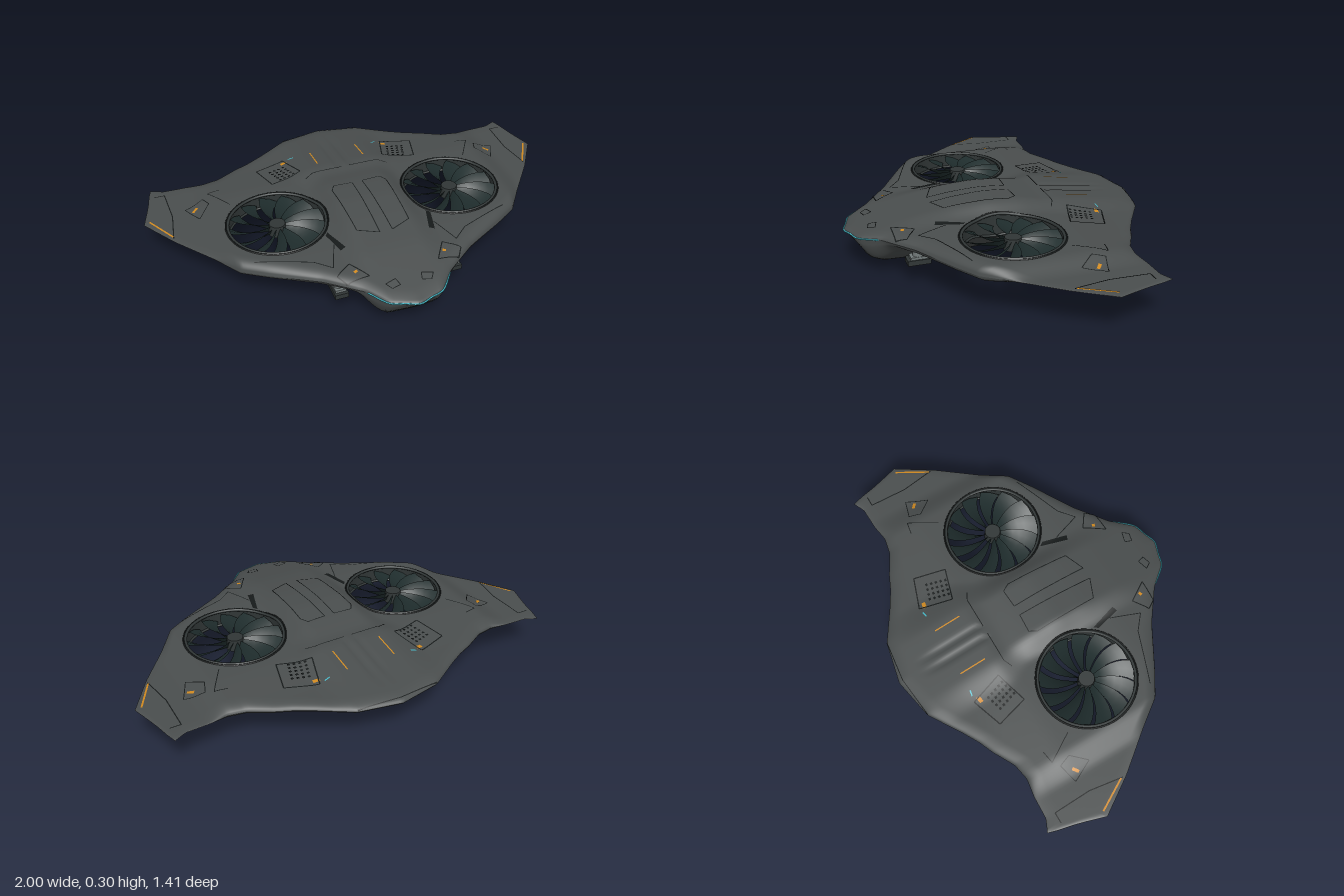
import * as THREE from 'three';

const mat = (name, color, side = THREE.DoubleSide) => {
  const m = new THREE.MeshStandardMaterial({ color, side });
  m.name = name;
  return m;
};

// Piecewise-linear lookup, and a softened version of it
const look = (t, v) => {
  if (v <= t[0][0]) return t[0][1];
  for (let i = 1; i < t.length; i++) {
    const [a, p] = t[i - 1], [b, q] = t[i];
    if (v <= b) return p + (q - p) * (v - a) / (b - a);
  }
  return t[t.length - 1][1];
};
const soft = (t, v) => [-0.03, -0.015, 0, 0.015, 0.03].reduce((s, o) => s + look(t, v + o), 0) / 5;
const { smoothstep, lerp } = THREE.MathUtils;

// Half planform: leading and trailing edge z for each |x|
const FRONT = [[0, 0.7], [0.12, 0.66], [0.2, 0.565], [0.35, 0.45], [0.55, 0.335], [0.66, 0.265], [0.75, 0.14], [0.89, -0.04], [1, -0.21]];
const BACK = [[0, -0.71], [0.2, -0.67], [0.35, -0.575], [0.43, -0.53], [0.5, -0.5], [0.6, -0.445], [0.68, -0.43], [0.76, -0.443], [0.87, -0.447], [0.93, -0.475], [0.96, -0.34], [1, -0.21]];
// Height profiles along z
const SPINE = [[-0.7, 0.215], [-0.5, 0.24], [-0.27, 0.272], [-0.22, 0.264], [-0.1, 0.286], [0.05, 0.296], [0.2, 0.286], [0.4, 0.257], [0.6, 0.212], [0.7, 0.188]];
const WING = [[-0.7, 0.215], [-0.45, 0.222], [-0.25, 0.242], [0.3, 0.245], [0.5, 0.23], [0.7, 0.188]];
const KEEL = [[-0.7, 0.178], [-0.35, 0.17], [-0.28, 0.14], [-0.2, 0.09], [-0.1, 0.062], [0.4, 0.05], [0.56, 0.054], [0.63, 0.1], [0.7, 0.172]];
const UNDER = [[-0.7, 0.178], [-0.4, 0.172], [0.5, 0.168], [0.7, 0.172]];
const RIM = [[-0.7, 0.197], [0.45, 0.2], [0.58, 0.195], [0.7, 0.18]];
const FAN = { x: 0.43, z: 0.035, r: 0.228 };

const edgeFade = (x, z) => {
  const t = Math.min((look(FRONT, x) - z) / 0.07, (z - look(BACK, x)) / 0.07, 1);
  return Math.sqrt(Math.max(0, 1 - (1 - t) ** 2));
};
const topY = (x, z) => {
  x = Math.abs(x);
  const rear = smoothstep(-z, 0.15, 0.3);
  const hump = 1 - smoothstep(x, 0.12 + 0.02 * rear, 0.24 + 0.06 * rear);
  let y = lerp(soft(WING, z), soft(SPINE, z), hump);
  y -= 0.008 * Math.exp(-(((x - 0.03) / 0.012) ** 2)) * smoothstep(-z, 0.25, 0.28) * (1 - smoothstep(-z, 0.45, 0.62));
  y = lerp(y, 0.204, smoothstep(x, 0.655, 0.79));
  return lerp(look(RIM, z), y, edgeFade(x, z));
};
const botY = (x, z) => {
  x = Math.abs(x);
  let y = lerp(soft(UNDER, z), soft(KEEL, z), 1 - smoothstep(x, 0.1, 0.25));
  y = lerp(y, 0.195, smoothstep(x, 0.655, 0.79));
  return lerp(look(RIM, z), y, edgeFade(x, z));
};

function build(verts, idx) {
  const g = new THREE.BufferGeometry();
  g.setAttribute('position', new THREE.Float32BufferAttribute(verts, 3));
  g.setIndex(idx);
  g.computeVertexNormals();
  return g;
}

// Hull skin: a grid over the planform with both fan holes left out
function skin(yAt, up) {
  const nx = 136, nz = 96, p = [], idx = [];
  const off = (x, z) => Math.hypot(Math.abs(x) - FAN.x, z - FAN.z);
  const raw = [];
  for (let i = 0; i <= nx; i++) for (let j = 0; j <= nz; j++) {
    const x = -1 + 2 * i / nx, a = Math.abs(x), t = j / nz;
    const v = lerp(t, 0.5 - 0.5 * Math.cos(Math.PI * t), 0.6);
    let px = x, pz = lerp(look(BACK, a), look(FRONT, a), v);
    raw.push([px, pz]);
    const d = off(px, pz);
    if (d < FAN.r && d > 0.01) {
      const s = Math.sign(px) || 1, k = FAN.r / d;
      px = s * (FAN.x + (a - FAN.x) * k);
      pz = FAN.z + (pz - FAN.z) * k;
    }
    p.push(px, yAt(px, pz), pz);
  }
  for (let i = 0; i < nx; i++) for (let j = 0; j < nz; j++) {
    const a = i * (nz + 1) + j, b = a + 1, c = a + nz + 1, d = c + 1;
    const cx = (raw[a][0] + raw[d][0]) / 2, cz = (raw[a][1] + raw[b][1] + raw[c][1] + raw[d][1]) / 4;
    if (off(cx, cz) < FAN.r) continue;
    if (up) idx.push(a, b, c, c, b, d); else idx.push(a, c, b, c, d, b);
  }
  return build(p, idx);
}

// Four-cornered plate laid over a surface; corners are [x, z]
function plate(q, yAt, lift, n = 6) {
  const p = [], idx = [];
  for (let i = 0; i <= n; i++) for (let j = 0; j <= n; j++) {
    const u = i / n, v = j / n;
    const at = k => lerp(lerp(q[0][k], q[1][k], u), lerp(q[3][k], q[2][k], u), v);
    p.push(at(0), yAt(at(0), at(1)) + lift, at(1));
    if (i < n && j < n) {
      const a = i * (n + 1) + j, c = a + n + 1;
      idx.push(a, a + 1, c, c, a + 1, c + 1);
    }
  }
  return build(p, idx);
}

// Pitched, slightly swept fan blade
function blade(angle) {
  const p = [], idx = [], n = 6, span = 0.405;
  for (let i = 0; i <= n; i++) {
    const r = lerp(0.035, 0.222, i / n), sweep = angle + 0.25 * (i / n) ** 2;
    for (const [o, y] of [[0, 0.232], [0.5, 0.218], [1, 0.195]])
      p.push(r * Math.cos(sweep + o * span), y, r * Math.sin(sweep + o * span));
    if (i < n) for (const k of [0, 1]) {
      const a = i * 3 + k;
      idx.push(a, a + 1, a + 3, a + 3, a + 1, a + 4);
    }
  }
  return build(p, idx);
}

export function createModel() {
  const root = new THREE.Group();
  const hull = mat('hull grey', 0x4a4e4e), dark = mat('panel line black', 0x161a1a);
  const fanMat = mat('fan dark green', 0x1f2d2d), trim = mat('duct charcoal', 0x303636);
  const steel = mat('strut grey', 0x727a7a), orange = mat('marker orange', 0xd18a20), cyan = mat('light cyan', 0x46bccb);
  const add = (name, geo, m, parent = root) => {
    const o = new THREE.Mesh(geo, m);
    o.name = name;
    parent.add(o);
    return o;
  };
  const stripe = (name, pts, w, m, closed = false) => {
    const n = pts.length;
    for (let i = 0; i < (closed ? n : n - 1); i++) {
      const [a, b] = [pts[i], pts[(i + 1) % n]], l = Math.hypot(b[0] - a[0], b[1] - a[1]);
      const ox = -(b[1] - a[1]) / l * w / 2, oz = (b[0] - a[0]) / l * w / 2;
      add(name, plate([[a[0] + ox, a[1] + oz], [b[0] + ox, b[1] + oz], [b[0] - ox, b[1] - oz], [a[0] - ox, a[1] - oz]], topY, 0.003, 10), m);
    }
  };

  add('upperHull', skin(topY, true), hull);
  add('lowerHull', skin(botY, false), hull);

  // Nose light strip, intake and belly sensor
  const nose = [-0.19, -0.12, -0.06, 0, 0.06, 0.12, 0.19].map(x => {
    const z = look(FRONT, Math.abs(x));
    return new THREE.Vector3(x, look(RIM, z) - 0.001, z - 0.001);
  });
  add('noseLight', new THREE.TubeGeometry(new THREE.CatmullRomCurve3(nose), 40, 0.004, 6), cyan);
  add('noseIntake', plate([[-0.09, 0.575], [0.09, 0.575], [0.13, 0.625], [-0.13, 0.625]], botY, -0.004, 10), trim);
  const dome = add('bellySensor', new THREE.SphereGeometry(0.062, 28, 18), fanMat);
  dome.position.set(0, 0.062, 0.27);

  for (const s of [1, -1]) {
    const side = pts => pts.map(([x, z]) => [s * x, z]);

    // Lift fan: duct wall, rims, hub and blades
    const fan = new THREE.Group();
    fan.name = s > 0 ? 'leftFan' : 'rightFan';
    fan.position.set(s * FAN.x, 0, FAN.z);
    root.add(fan);
    const wall = new THREE.CylinderGeometry(FAN.r, FAN.r, 1, 64, 1, true), wp = wall.attributes.position;
    for (let i = 0; i < wp.count; i++) {
      const x = wp.getX(i) + s * FAN.x, z = wp.getZ(i) + FAN.z;
      wp.setY(i, wp.getY(i) > 0 ? topY(x, z) : botY(x, z));
    }
    add('ductWall', wall, trim, fan);
    const ring = (name, r, t, y, m) => {
      const g = new THREE.TorusGeometry(r, t, 8, 72).rotateX(Math.PI / 2);
      const v = g.attributes.position;
      for (let i = 0; i < v.count; i++) {
        const k = r / Math.hypot(v.getX(i), v.getZ(i));
        v.setY(i, v.getY(i) + y(s * FAN.x + v.getX(i) * k, FAN.z + v.getZ(i) * k));
      }
      g.computeVertexNormals();
      add(name, g, m, fan);
    };
    ring('upperRim', 0.224, 0.007, topY, trim);
    ring('rimSeam', 0.233, 0.004, topY, dark);
    ring('lowerRim', 0.226, 0.006, botY, trim);
    add('hub', new THREE.CylinderGeometry(0.037, 0.042, 0.055, 32), trim, fan).position.y = 0.212;
    for (let i = 0; i < 13; i++) add('blade', blade(i * Math.PI * 2 / 13), fanMat, fan);

    // Landing feet, front and rear
    for (const z of [0.42, -0.32]) {
      const gear = new THREE.Group();
      gear.name = z > 0 ? 'frontLandingFoot' : 'rearLandingFoot';
      gear.position.set(s * 0.27, 0, z);
      root.add(gear);
      add('strut', new THREE.CylinderGeometry(0.022, 0.026, 0.07, 16), steel, gear).position.y = 0.15;
      add('collar', new THREE.BoxGeometry(0.05, 0.014, 0.075), steel, gear).position.y = 0.129;
      add('pad', new THREE.BoxGeometry(0.062, 0.024, 0.105), trim, gear).position.y = 0.112;
    }

    // Panel seams
    stripe('spineHatch', side([[0.025, -0.08], [0.115, -0.085], [0.135, -0.05], [0.125, 0.26], [0.03, 0.3]]), 0.004, dark, true);
    stripe('rearVentFrame', side([[0.262, -0.46], [0.41, -0.41], [0.37, -0.26], [0.215, -0.305]]), 0.006, dark, true);
    stripe('noseHatch', side([[0.22, 0.42], [0.29, 0.47], [0.26, 0.515], [0.16, 0.515]]), 0.005, dark, true);
    stripe('noseSensorFrame', side([[0.06, 0.56], [0.11, 0.575], [0.09, 0.605], [0.05, 0.595]]), 0.004, dark, true);
    stripe('wingHatch', side([[0.8, -0.25], [0.71, -0.275], [0.69, -0.22], [0.75, -0.15]]), 0.004, dark, true);
    stripe('wingSeam', side([[0.92, -0.4], [0.87, -0.4], [0.865, -0.22], [0.89, -0.06]]), 0.005, dark);
    stripe('fanSeam', side([[0.6, -0.17], [0.68, -0.3], [0.62, -0.31]]), 0.004, dark);
    stripe('leadingSeam', side([[0.24, 0.28], [0.29, 0.42], [0.36, 0.36], [0.6, 0.27]]), 0.004, dark);
    stripe('deckSeam', side([[0.02, -0.25], [0.17, -0.25], [0.21, -0.23]]), 0.004, dark);
    stripe('tailSeam', side([[0, -0.69], [0.2, -0.668]]), 0.004, dark);
    add('sideVent', plate(side([[0.24, 0.19], [0.255, 0.21], [0.225, 0.33], [0.2, 0.32]]), topY, 0.003), dark);

    // Rear vent perforations
    for (let i = 0; i < 5; i++) for (let j = 0; j < 4; j++) {
      const x = 0.272 + j * 0.024 - i * 0.007, z = -0.4 + i * 0.022 + j * 0.007;
      add('ventHole', plate(side([[x, z], [x + 0.012, z], [x + 0.012, z + 0.011], [x, z + 0.011]]), topY, 0.004, 1), dark);
    }

    // Orange and cyan markers
    stripe('deckMarker', side([[0.12, -0.45], [0.12, -0.32]]), 0.006, orange);
    stripe('wingtipMarker', side([[0.972, -0.215], [0.89, -0.07]]), 0.008, orange);
    stripe('ventMarker', side([[0.25, -0.435], [0.28, -0.43]]), 0.018, orange);
    stripe('ventLight', side([[0.208, -0.45], [0.235, -0.455]]), 0.006, cyan);
    stripe('wingHatchMarker', side([[0.745, -0.235], [0.77, -0.215]]), 0.014, orange);
    stripe('noseHatchMarker', side([[0.2, 0.47], [0.215, 0.475]]), 0.014, orange);
  }
  return root;
}
